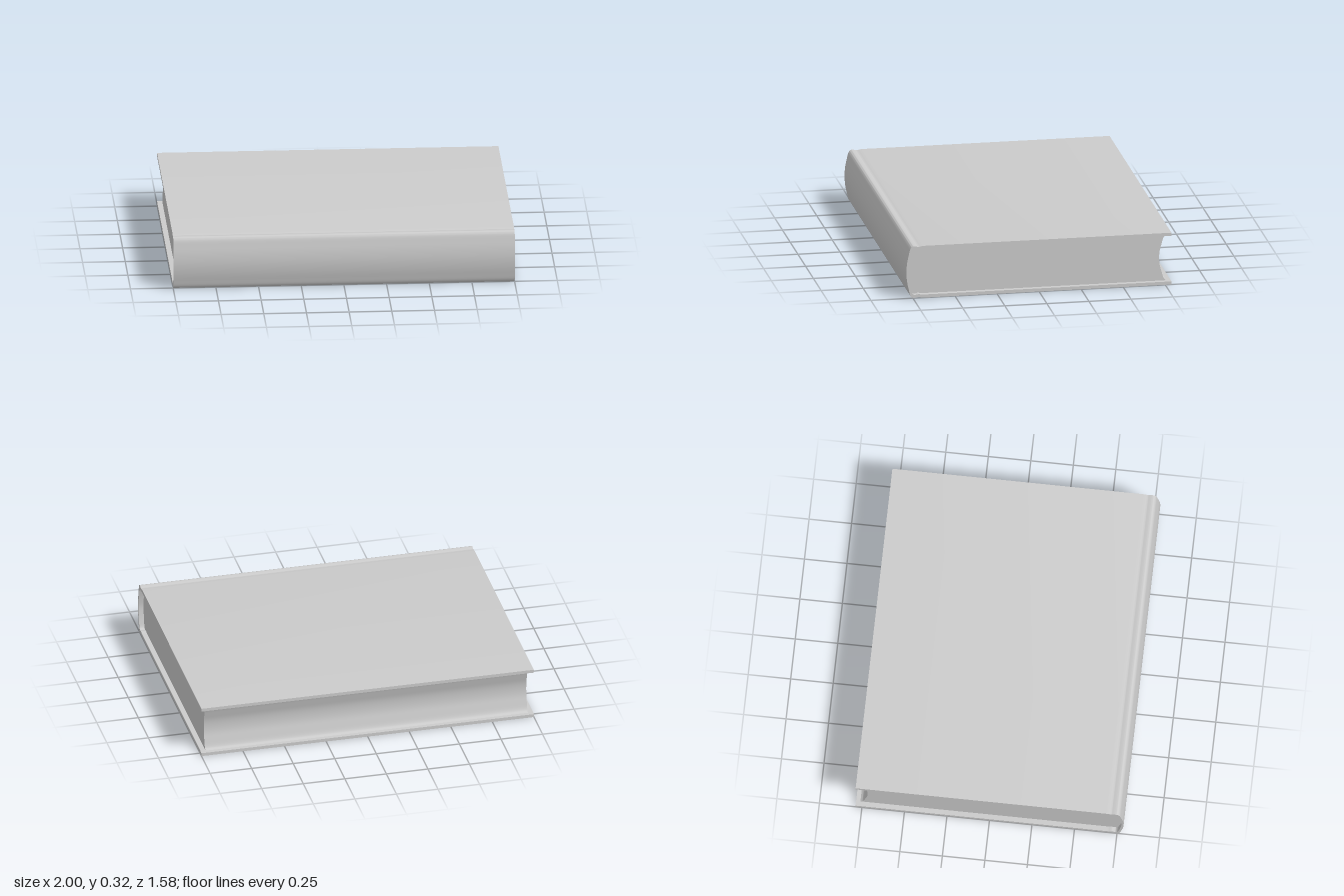
import * as THREE from 'three';
import { toCreasedNormals } from 'three/addons/utils/BufferGeometryUtils.js';

const MID = 0.158; // half the thickness of the book
const material = new THREE.MeshStandardMaterial({ color: 0xcccccc });

// Smooth curve through the upper half points [z, height above middle], mirrored below the middle
function mirroredCurve(half, samples) {
  const lower = half.slice(0, -1).reverse().map(([z, h]) => [z, -h]);
  const points = [...half, ...lower].map(([z, h]) => new THREE.Vector3(z, MID + h, 0));
  return new THREE.CatmullRomCurve3(points).getPoints(samples).map(p => new THREE.Vector2(p.x, p.y));
}

// Extrude a (z, y) outline along x, centred
function extrudeAlongX(name, outline, length) {
  let geometry = new THREE.ExtrudeGeometry(new THREE.Shape(outline), { depth: length, bevelEnabled: false });
  geometry.translate(0, 0, -length / 2);
  geometry.rotateY(-Math.PI / 2);
  geometry = toCreasedNormals(geometry, 0.6);
  const mesh = new THREE.Mesh(geometry, material);
  mesh.name = name;
  return mesh;
}

export function createModel() {
  const book = new THREE.Group();
  book.name = 'book';
  const back = -0.787;
  const board = 0.139; // inner height of the boards from the middle

  // Rounded spine with a shallow hinge groove along each board
  const outer = mirroredCurve([
    [0.685, 0.158], [0.7, 0.156], [0.717, 0.153], [0.732, 0.156], [0.75, 0.157],
    [0.763, 0.146], [0.775, 0.105], [0.785, 0.055], [0.789, 0],
  ], 64);
  const inner = mirroredCurve([
    [0.685, board], [0.7, 0.138], [0.717, 0.135], [0.74, 0.139],
    [0.752, 0.13], [0.764, 0.09], [0.772, 0.045], [0.776, 0],
  ], 64);

  // Cover: two boards joined by the spine
  const cover = [
    new THREE.Vector2(back, MID + 0.158),
    ...outer,
    new THREE.Vector2(back, 0),
    new THREE.Vector2(back, MID - board),
    ...inner.slice().reverse(),
    new THREE.Vector2(back, MID + board),
  ];
  book.add(extrudeAlongX('cover', cover, 2));

  // Page block: follows the inside of the spine, with a hollow fore edge
  const foreEdge = mirroredCurve([
    [-0.762, board], [-0.748, 0.128], [-0.732, 0.08], [-0.722, 0.04], [-0.719, 0],
  ], 32);
  book.add(extrudeAlongX('pages', [...inner, ...foreEdge.slice().reverse()], 1.94));

  return book;
}
